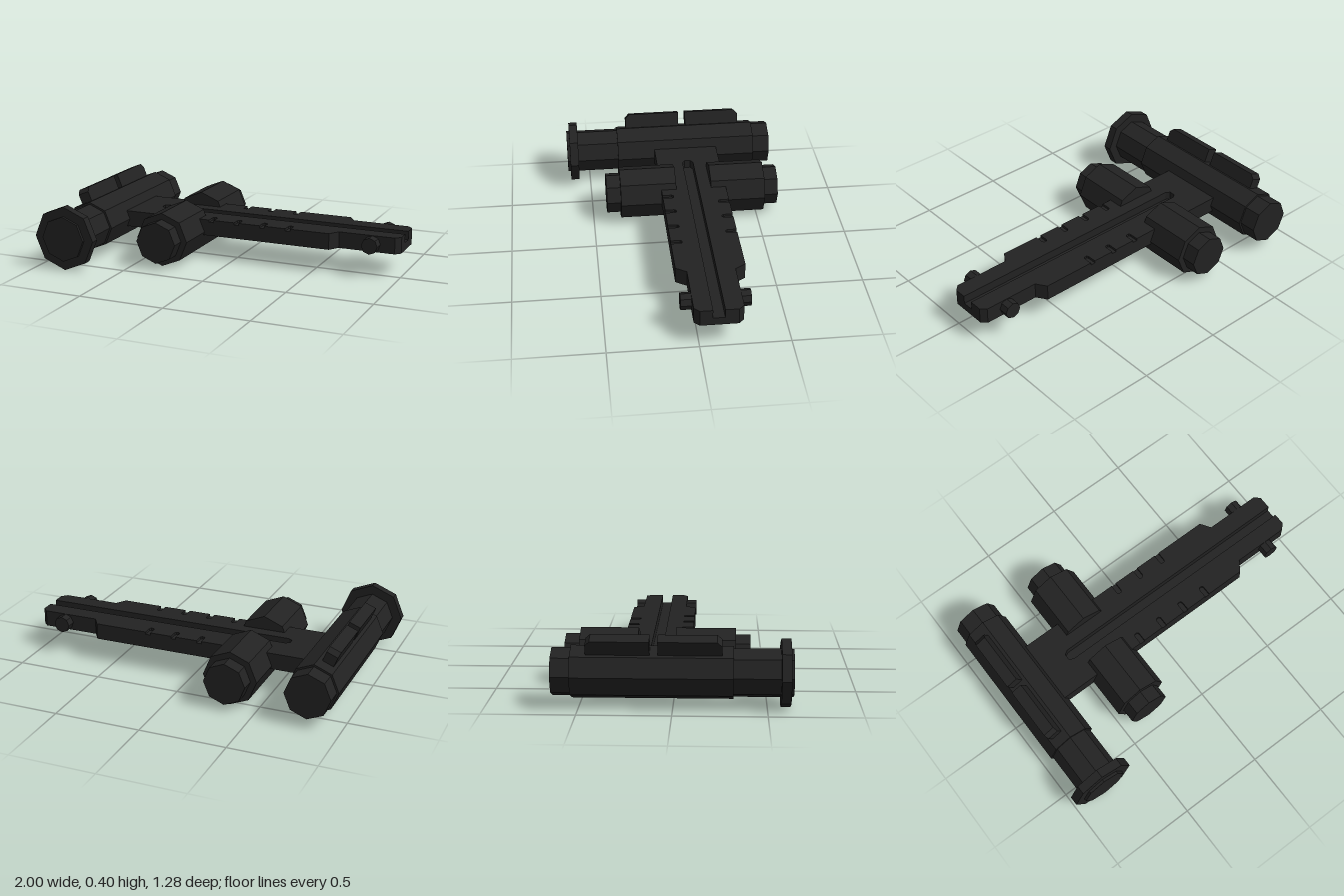
import * as THREE from 'three';

const BARREL = { x: -0.814, y: 0.19 };
const DRUM = { x: -0.333, y: 0.163 };

export function createModel() {
  const model = new THREE.Group();
  model.name = 'device';
  const black = new THREE.MeshStandardMaterial({ color: 0x222222, flatShading: true });
  black.name = 'matteBlack';

  const add = (name, geometry) => {
    const mesh = new THREE.Mesh(geometry, black);
    mesh.name = name;
    model.add(mesh);
    return mesh;
  };

  // Octagonal prism lying along z, between z0 and z1
  const octagon = (name, axis, r, z0, z1, start = 0, length = Math.PI * 2) => {
    const sides = Math.round((8 * length) / (Math.PI * 2));
    const g = new THREE.CylinderGeometry(r, r, z1 - z0, sides, 1, false, start, length);
    g.rotateX(Math.PI / 2);
    g.translate(axis.x, axis.y, (z0 + z1) / 2);
    return add(name, g);
  };

  // Long barrel with narrower ends and a flange at the front
  octagon('barrel', BARREL, 0.144, -0.54, 0.32);
  octagon('barrelCore', BARREL, 0.132, -0.642, 0.638);
  octagon('barrelFlange', BARREL, 0.187, 0.57, 0.622);

  // Cross drum, open above the middle where the plate passes through
  octagon('drumFront', DRUM, 0.158, 0, 0.335);
  octagon('drumBack', DRUM, 0.158, -0.537, -0.21);
  octagon('drumUnderside', DRUM, 0.158, -0.21, 0, -Math.PI / 2, Math.PI);
  octagon('drumFrontCap', DRUM, 0.122, 0.33, 0.418);
  octagon('drumBackCap', DRUM, 0.122, -0.622, -0.53);

  // Outline of the flat plate as [x, z], optionally with groove and edge notches
  const notch = (x, edge, inward) => {
    const w = 0.015, d = 0.065 * inward;
    return [[x - w, edge], [x - w, edge + d * 0.85], [x - w / 2, edge + d],
      [x + w / 2, edge + d], [x + w, edge + d * 0.85], [x + w, edge]];
  };
  const outline = (groove, notches) => {
    const back = notches ? [-0.05, 0.11, 0.27].flatMap((x) => notch(x, -0.3, 1)) : [];
    const front = notches
      ? [0.35, 0.19, 0.03, -0.13].flatMap((x) => notch(x, 0.09, -1).reverse()) : [];
    const slot = groove
      ? [[1, -0.135], [-0.51, -0.135], [-0.535, -0.12], [-0.535, -0.085], [-0.51, -0.07], [1, -0.07]] : [];
    return [[-0.75, -0.3], ...back, [0.6, -0.3], [0.64, -0.24], [0.97, -0.24], [1, -0.21],
      ...slot, [1, 0], [0.97, 0.03], [0.64, 0.03], [0.6, 0.09], ...front, [-0.75, 0.09]];
  };
  const layer = (name, points, y0, y1) => {
    const shape = new THREE.Shape(points.map(([x, z]) => new THREE.Vector2(x, -z)));
    const g = new THREE.ExtrudeGeometry(shape, { depth: y1 - y0, bevelEnabled: false });
    g.rotateX(-Math.PI / 2);
    g.translate(0, y0, 0);
    add(name, g);
  };
  layer('plateBase', outline(false, false), 0.145, 0.19);
  layer('plateGrooved', outline(true, false), 0.19, 0.226);
  layer('plateNotchedTop', outline(true, true), 0.226, 0.24);

  // Pins on both sides of the narrow end
  const PIN = { x: 0.838, y: 0.192 };
  octagon('pinFront', PIN, 0.048, 0.02, 0.09);
  octagon('pinBack', PIN, 0.048, -0.295, -0.23);

  // Two rails on the upper outer face of the barrel, bevelled at their far ends
  const rail = (name, inner, outer) => {
    const bevel = Math.sign(inner - outer) * 0.025;
    const side = new THREE.Shape([
      [inner, 0.12], [inner, 0.217], [outer + bevel, 0.217], [outer, 0.192], [outer, 0.12],
    ].map(([z, h]) => new THREE.Vector2(-z, h)));
    const g = new THREE.ExtrudeGeometry(side, { depth: 0.07, bevelEnabled: false });
    g.translate(0, 0, -0.035);
    g.rotateY(Math.PI / 2);
    g.rotateZ(Math.PI / 8);
    g.translate(BARREL.x, BARREL.y, 0);
    add(name, g);
  };
  rail('railFront', -0.077, 0.26);
  rail('railBack', -0.12, -0.457);

  return model;
}
